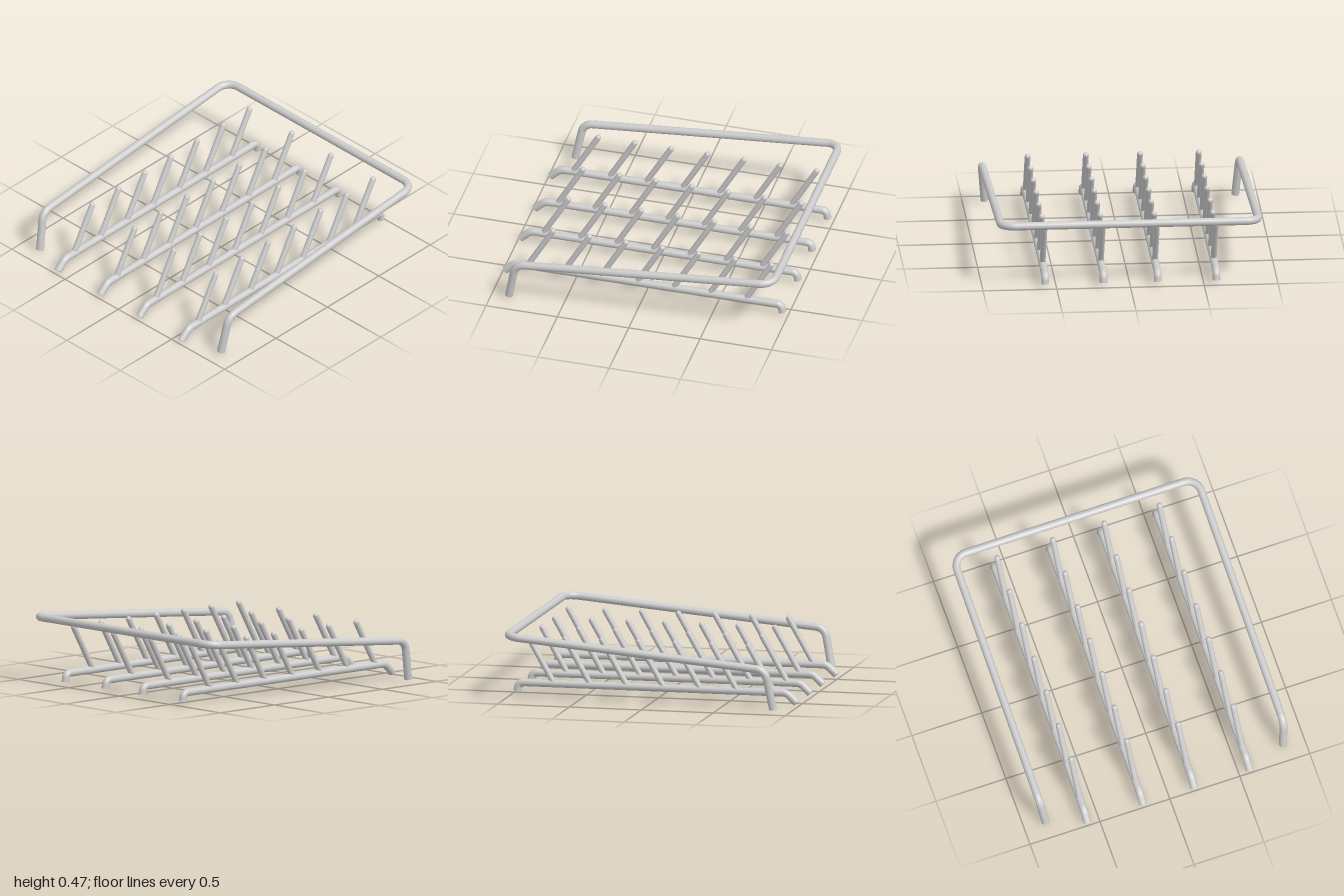
import * as THREE from 'three';

const V = (x, y, z) => new THREE.Vector3(x, y, z);
const material = new THREE.MeshStandardMaterial({ color: 0xcccccc });

// Path whose pieces each get an equal share of the sweep, so bends stay smooth
class BentPath extends THREE.CurvePath {
  locate(u) {
    const t = u * this.curves.length;
    const i = Math.min(Math.floor(t + 1e-9), this.curves.length - 1);
    return [this.curves[i], Math.min(Math.max(t - i, 0), 1)];
  }
  getPointAt(u) {
    const [curve, t] = this.locate(u);
    return curve.getPoint(t);
  }
  getTangentAt(u) {
    const [curve, t] = this.locate(u);
    return curve.getTangent(t);
  }
}

// Polyline with rounded corners; bends[i] is the setback at inner corner i
function bentPath(points, bends) {
  const path = new BentPath();
  let start = points[0];
  for (let i = 1; i < points.length - 1; i++) {
    const p = points[i];
    const toward = (q, d) => p.clone().add(q.clone().sub(p).setLength(d));
    const d = bends[i - 1];
    const a = toward(points[i - 1], d);
    const b = toward(points[i + 1], d);
    path.curves.push(new THREE.LineCurve3(start, a));
    path.curves.push(new THREE.CubicBezierCurve3(a, a.clone().lerp(p, 0.55), b.clone().lerp(p, 0.55), b));
    start = b;
  }
  path.curves.push(new THREE.LineCurve3(start, points[points.length - 1]));
  return path;
}

// Round bar swept along a path, closed by flat discs
function bar(name, path, radius) {
  const group = new THREE.Group();
  group.name = name;
  const sweep = new THREE.Mesh(new THREE.TubeGeometry(path, path.curves.length * 8, radius, 20), material);
  sweep.name = 'bar';
  group.add(sweep);
  for (const u of [0, 1]) {
    const cap = new THREE.Mesh(new THREE.CircleGeometry(radius, 20), material);
    cap.name = 'endCap';
    cap.position.copy(path.getPointAt(u));
    const out = path.getTangentAt(u).multiplyScalar(u ? 1 : -1);
    cap.quaternion.setFromUnitVectors(V(0, 0, 1), out);
    group.add(cap);
  }
  return group;
}

export function createModel() {
  const model = new THREE.Group();
  model.name = 'dishRack';

  // Sloping outer frame with two front legs
  const side = [V(0.85, 0.012, 0.88), V(0.873, 0.283, 0.828), V(0.873, 0.443, -0.972)];
  const mirrored = side.map((p) => V(-p.x, p.y, p.z)).reverse();
  const framePath = bentPath([...side, ...mirrored], [0.06, 0.095, 0.095, 0.06]);
  model.add(bar('outerFrame', framePath, 0.027));

  // Tilted peg with a rounded tip
  const foot = V(0, 0.083, 0.825);
  const tip = V(0, 0.393, 0.647);
  const lean = tip.clone().sub(foot);
  const pegGeometry = new THREE.CapsuleGeometry(0.02, lean.length(), 6, 16);
  const pegTurn = new THREE.Quaternion().setFromUnitVectors(V(0, 1, 0), lean.clone().normalize());
  const pegMiddle = foot.clone().add(tip).multiplyScalar(0.5);

  // Base rails, bent down at both ends, each carrying seven pegs
  for (const x of [-0.585, -0.187, 0.18, 0.575]) {
    const row = new THREE.Group();
    row.name = 'pegRow';
    row.position.x = x;
    const railPath = bentPath(
      [V(0, 0.018, 0.98), V(0, 0.083, 0.91), V(0, 0.083, -0.952), V(0, 0.025, -0.961)],
      [0.025, 0.03]
    );
    row.add(bar('baseRail', railPath, 0.026));
    for (let i = 0; i < 7; i++) {
      const peg = new THREE.Mesh(pegGeometry, material);
      peg.name = 'peg';
      peg.position.copy(pegMiddle);
      peg.position.z -= i * 0.255;
      peg.quaternion.copy(pegTurn);
      row.add(peg);
    }
    model.add(row);
  }
  return model;
}
